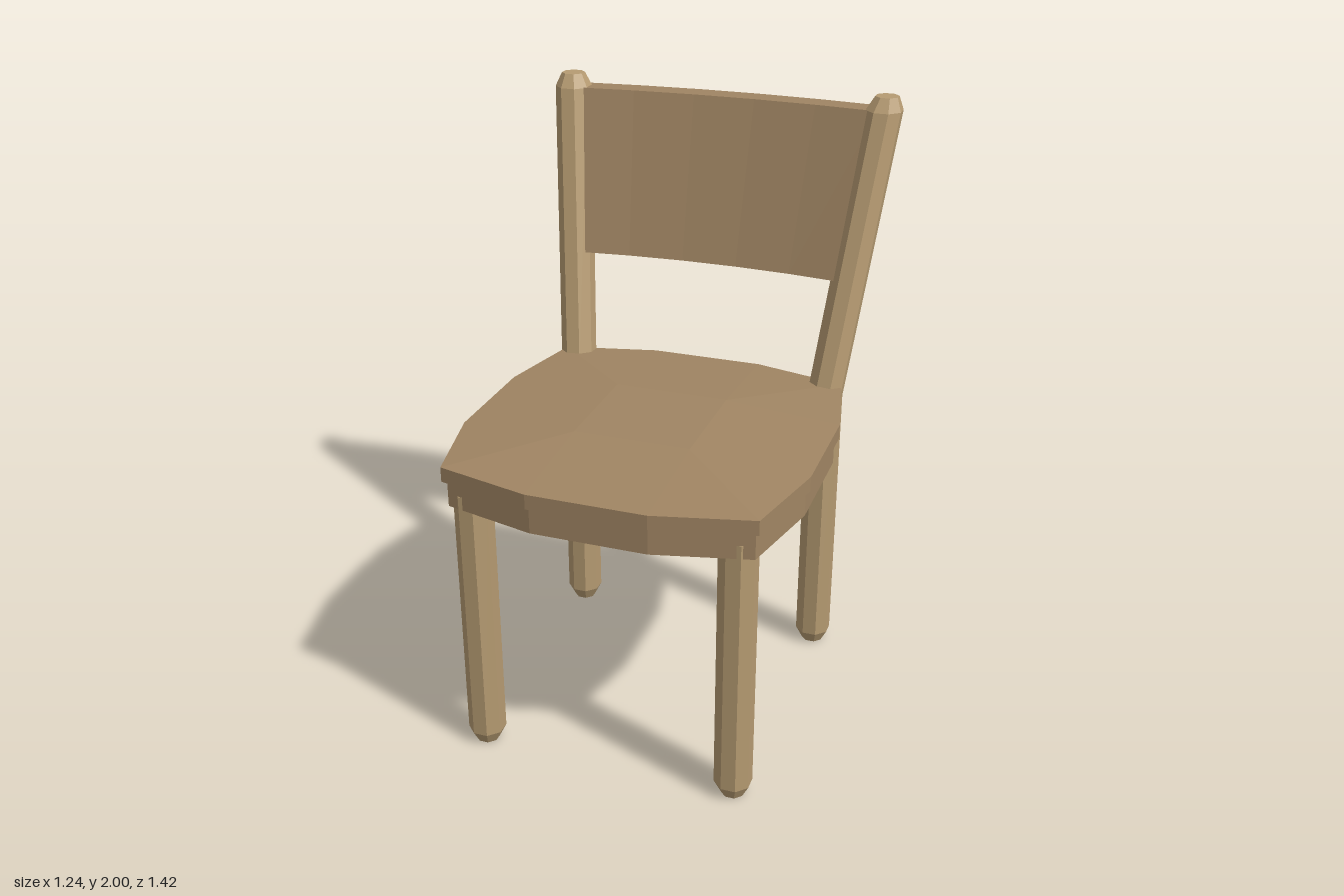
import * as THREE from 'three';

const legWood = new THREE.MeshStandardMaterial({ color: 0xb69b72, flatShading: true });
legWood.name = 'light wood';
const seatWood = new THREE.MeshStandardMaterial({ color: 0xa08563, flatShading: true });
seatWood.name = 'wood';

// Skin a stack of rings (bottom to top, each running from +x towards +z) and cap both ends
function loft(name, rings, material) {
  const pos = [];
  const tri = (...pts) => pts.forEach((p) => pos.push(...p));
  const middle = (ring) => [0, 1, 2].map((k) => ring.reduce((s, p) => s + p[k], 0) / ring.length);
  const n = rings[0].length;
  const first = rings[0], last = rings[rings.length - 1];
  for (let i = 0; i < n; i++) {
    const j = (i + 1) % n;
    for (let r = 0; r < rings.length - 1; r++) {
      const lo = rings[r], hi = rings[r + 1];
      tri(lo[i], hi[i], lo[j]);
      tri(lo[j], hi[i], hi[j]);
    }
    tri(middle(first), first[i], first[j]);
    tri(middle(last), last[j], last[i]);
  }
  const geo = new THREE.BufferGeometry();
  geo.setAttribute('position', new THREE.Float32BufferAttribute(pos, 3));
  geo.computeVertexNormals();
  const mesh = new THREE.Mesh(geo, material);
  mesh.name = name;
  return mesh;
}

// Eight-sided ring with flat sides facing the axes; r is the distance to a flat
function octagon(x, y, z, r) {
  return Array.from({ length: 8 }, (_, i) => {
    const a = (i + 0.5) * Math.PI / 4, R = r / Math.cos(Math.PI / 8);
    return [x + R * Math.cos(a), y, z + R * Math.sin(a)];
  });
}

// Twelve-sided seat outline, pulled in by inset
function seatOutline(y, inset) {
  const quarterFront = [[0.585, 0.315], [0.512, 0.63], [0.195, 0.707]];
  const quarterBack = [[0.195, -0.47], [0.515, -0.395], [0.585, -0.075]];
  const mirror = (pts) => pts.map(([x, z]) => [-x, z]).reverse();
  const outline = [...quarterFront, ...mirror(quarterFront), ...mirror(quarterBack), ...quarterBack];
  const k = 1 - inset / 0.585;
  return outline.map(([x, z]) => [x * k, y, 0.118 + (z - 0.118) * k]);
}

export function createModel() {
  const chair = new THREE.Group();
  chair.name = 'chair';

  // Seat with a low crown: the outline is clamped to a raised middle rectangle
  const rim = seatOutline(1.045, 0);
  const crown = rim.map(([x, , z]) => [
    THREE.MathUtils.clamp(x, -0.195, 0.195), 1.075, THREE.MathUtils.clamp(z, -0.075, 0.315)]);
  chair.add(loft('seat', [seatOutline(0.995, 0), rim, crown], seatWood));

  // Apron under the seat
  chair.add(loft('apron', [seatOutline(0.905, 0.015), seatOutline(0.996, 0.015)], seatWood));

  for (const [side, s] of [['left', 1], ['right', -1]]) {
    // Front leg with a chamfered foot
    chair.add(loft(side + 'FrontLeg', [
      octagon(s * 0.435, 0, 0.572, 0.036),
      octagon(s * 0.435, 0.045, 0.572, 0.058),
      octagon(s * 0.435, 0.95, 0.572, 0.058),
    ], legWood));

    // Back leg that bends at the seat and leans back as the backrest post
    chair.add(loft(side + 'BackLeg', [
      octagon(s * 0.462, 0, -0.38, 0.036),
      octagon(s * 0.462, 0.045, -0.38, 0.058),
      octagon(s * 0.462, 1.0, -0.38, 0.058),
      octagon(s * 0.56, 1.955, -0.632, 0.06),
      octagon(s * 0.565, 2.0, -0.642, 0.038),
    ], legWood));
  }

  // Curved, leaning backrest board between the posts
  const boardRing = (y, half, front, back) => {
    const steps = [1, 0.6, 0.2, -0.2, -0.6, -1];
    const edge = (z0) => steps.map((t) => [t * half, y, z0 + 0.035 * t * t]);
    return [...edge(front), ...edge(back).reverse()];
  };
  chair.add(loft('backrest', [
    boardRing(1.4, 0.49, -0.48, -0.565),
    boardRing(1.957, 0.545, -0.63, -0.715),
  ], seatWood));

  return chair;
}
